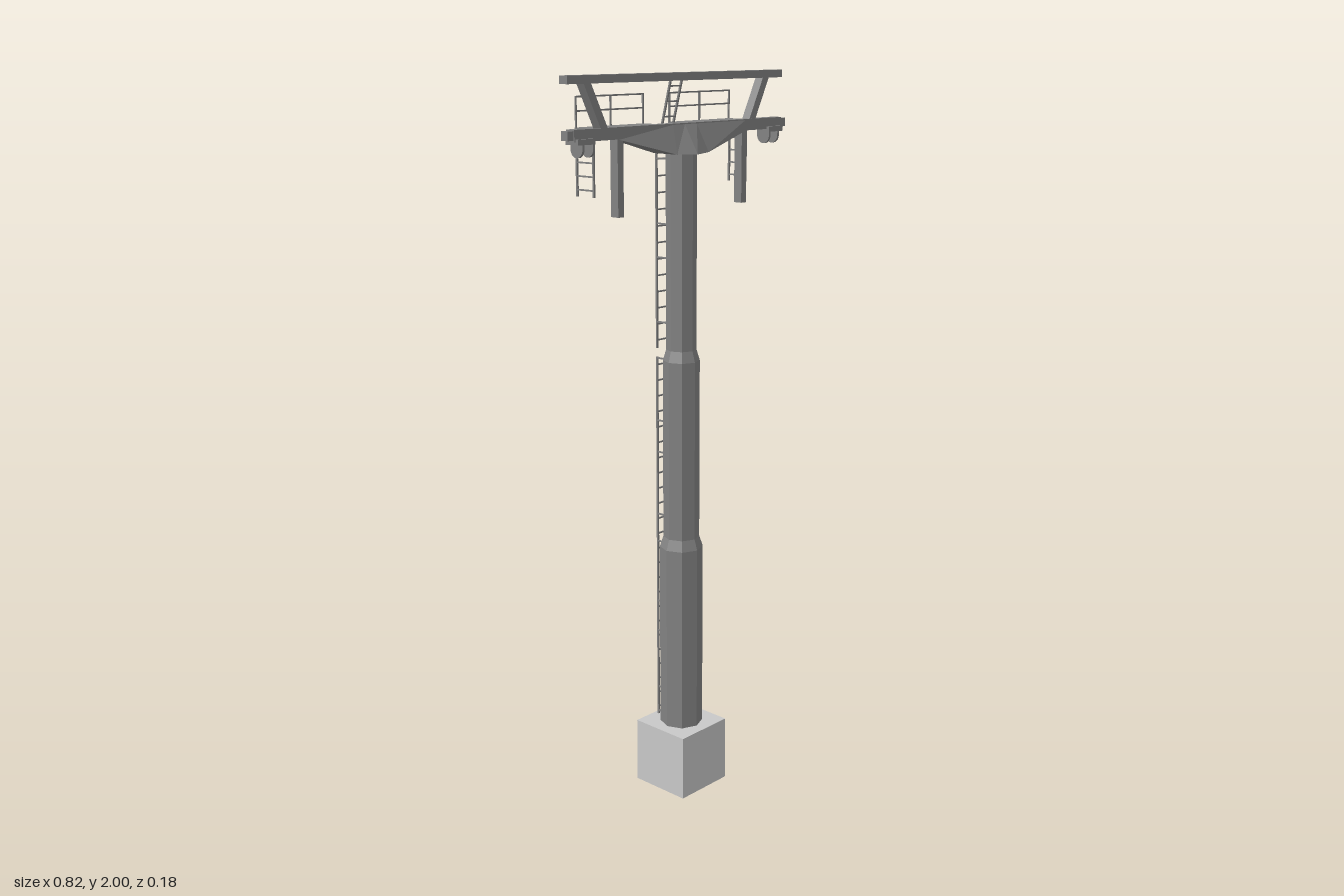
import * as THREE from 'three';

const steel = new THREE.MeshStandardMaterial({ color: 0x828282 });
steel.name = 'steel grey';
const concrete = new THREE.MeshStandardMaterial({ color: 0xc8c8c8 });
concrete.name = 'concrete grey';

export function createModel() {
  const model = new THREE.Group();
  model.name = 'cablewayTower';

  const group = (name) => {
    const g = new THREE.Group();
    g.name = name;
    model.add(g);
    return g;
  };
  const add = (name, geometry, parent = model, material = steel) => {
    const mesh = new THREE.Mesh(geometry, material);
    mesh.name = name;
    parent.add(mesh);
    return mesh;
  };
  // box given by its minimum and maximum corners
  const box = (name, lo, hi, parent, material) => {
    const [w, h, d] = hi.map((v, i) => v - lo[i]);
    const mesh = add(name, new THREE.BoxGeometry(w, h, d), parent, material);
    mesh.position.set(...hi.map((v, i) => (v + lo[i]) / 2));
    return mesh;
  };
  // straight bar between two points
  const bar = (name, a, b, parent, w = 0.005, d = w) => {
    const p = new THREE.Vector3(...a), q = new THREE.Vector3(...b);
    const mesh = add(name, new THREE.BoxGeometry(w, p.distanceTo(q), d), parent);
    mesh.position.copy(p).add(q).multiplyScalar(0.5);
    mesh.quaternion.setFromUnitVectors(new THREE.Vector3(0, 1, 0), q.sub(p).normalize());
    return mesh;
  };
  // ladder between a bottom and a top point, with rails offset by +-side
  const ladder = (name, bottom, top, side, count) => {
    const g = group(name);
    const at = (p, s) => p.map((v, i) => v + s * side[i]);
    for (const s of [-1, 1]) bar('ladderRail', at(bottom, s), at(top, s), g);
    for (let i = 0; i < count; i++) {
      const t = (i + 0.5) / count;
      const p = bottom.map((v, k) => v + (top[k] - v) * t);
      bar('rung', at(p, -1), at(p, 1), g, 0.004);
    }
    return g;
  };
  const flat = (geometry) => {
    const g = geometry.index ? geometry.toNonIndexed() : geometry;
    g.computeVertexNormals();
    return g;
  };

  // concrete foot and stepped octagonal mast
  box('foundation', [-0.09, 0, -0.09], [0.09, 0.185, 0.09], model, concrete);
  const profile = [[0.06, 0.185], [0.06, 0.715], [0.05, 0.745], [0.05, 1.245],
    [0.041, 1.275], [0.041, 1.81]].map(([r, y]) => new THREE.Vector2(r, y));
  add('mast', flat(new THREE.LatheGeometry(profile, 8)));

  // tapered gusset under the crossarm, lofted along x: [x, bottom y, bottom half depth]
  const sections = [[-0.24, 1.842, 0.013, 0], [-0.06, 1.797, 0.042, 0], [0, 1.795, 0.058, 0],
    [0.06, 1.797, 0.042, 0], [0.24, 1.842, 0.013, 0]];
  const rings = sections.map(([x, y, z]) => {
    const tx = Math.abs(x) === 0.06 ? x * 0.75 : x;
    return [[x, y, -z], [x, y, z], [tx, 1.87, 0.013], [tx, 1.87, -0.013]];
  });
  const points = [];
  for (let i = 0; i < rings.length - 1; i++) {
    for (let k = 0; k < 4; k++) {
      const n = (k + 1) % 4;
      const a = rings[i][k], b = rings[i + 1][k], c = rings[i + 1][n], d = rings[i][n];
      points.push(...a, ...b, ...c, ...a, ...c, ...d);
    }
  }
  const [e, f] = [rings[0], rings[4]];
  points.push(...e[0], ...e[1], ...e[2], ...e[0], ...e[2], ...e[3]);
  points.push(...f[0], ...f[2], ...f[1], ...f[0], ...f[3], ...f[2]);
  const loft = new THREE.BufferGeometry();
  loft.setAttribute('position', new THREE.Float32BufferAttribute(points, 3));
  add('crossarmGusset', flat(loft));

  // lower and upper beams, the upper one set slightly to the side
  const shift = -0.01;
  box('crossarm', [-0.392, 1.843, -0.015], [0.392, 1.873, 0.013]);
  box('upperBeam', [-0.402 + shift, 1.98, -0.015], [0.402 + shift, 2, 0.013]);

  // rounded hanger plate, its face towards x
  const plate = new THREE.Shape();
  plate.moveTo(-0.021, 0);
  plate.lineTo(-0.021, -0.02);
  plate.absarc(0, -0.02, 0.021, Math.PI, 2 * Math.PI, false);
  plate.lineTo(0.021, 0);
  plate.closePath();
  const hanger = new THREE.ExtrudeGeometry(plate, { depth: 0.007, bevelEnabled: false, curveSegments: 8 });
  hanger.translate(0, 0, -0.0035);
  hanger.rotateY(Math.PI / 2);

  for (const s of [-1, 1]) {
    const span = (a, b) => [Math.min(s * a, s * b), Math.max(s * a, s * b)];
    const sideBox = (name, a, b, y0, y1, z0, z1, parent) => {
      const [l, h] = span(a, b);
      return box(name, [l, y0, z0], [h, y1, z1], parent);
    };
    sideBox('crossarmEnd', 0.39, 0.412, 1.847, 1.87, -0.012, 0.011);

    // slanted strut between the beams
    bar('strut', [s * 0.278 + shift, 1.868, -0.001], [s * 0.337 + shift, 1.985, -0.001], model, 0.022, 0.026);

    // hanging post and cable hangers
    sideBox('hangingPost', 0.226, 0.246, 1.65, 1.85, -0.013, 0.013);
    const hangers = group('cableHangers');
    sideBox('hangerMount', 0.33, 0.388, 1.836, 1.85, -0.022, 0.022, hangers);
    for (const x of [0.334, 0.37]) {
      add('hangerPlate', hanger, hangers).position.set(s * x, 1.845, 0);
    }

    // service platform with railing
    sideBox('platform', 0.047, 0.292, 1.862, 1.87, -0.092, -0.013);
    const railing = group('railing');
    for (const x of [0.05, 0.168, 0.289]) {
      bar('railingPost', [s * x, 1.865, -0.09], [s * x, 1.947, -0.09], railing, 0.004);
    }
    for (const y of [1.91, 1.945]) {
      bar('handrail', [s * 0.05, y, -0.09], [s * 0.289, y, -0.09], railing, 0.004);
    }

    // short ladder hanging from the outer platform end
    ladder('endLadder', [s * 0.29, 1.7, -0.058], [s * 0.29, 1.87, -0.058], [0, 0, 0.03], 5);
  }

  // mast ladders at the back, and the leaning one up to the upper beam
  const side = [0.021, 0, 0];
  ladder('lowerLadder', [0, 0.19, -0.07], [0, 1.248, -0.07], side, 24);
  ladder('upperLadder', [0, 1.272, -0.07], [0, 1.8, -0.07], side, 12);
  ladder('topLadder', [0, 1.79, -0.07], [0, 1.985, -0.017], side, 5);

  // brackets holding the ladders to the mast
  const brackets = group('ladderBrackets');
  for (const y of [0.2, 0.275, 0.45, 0.54, 0.72, 0.8, 0.98, 1.07, 1.245, 1.345, 1.52, 1.61, 1.78]) {
    for (const s of [-1, 1]) {
      bar('bracket', [s * 0.021, y, -0.028], [s * 0.021, y, -0.07], brackets, 0.004);
    }
  }
  return model;
}
